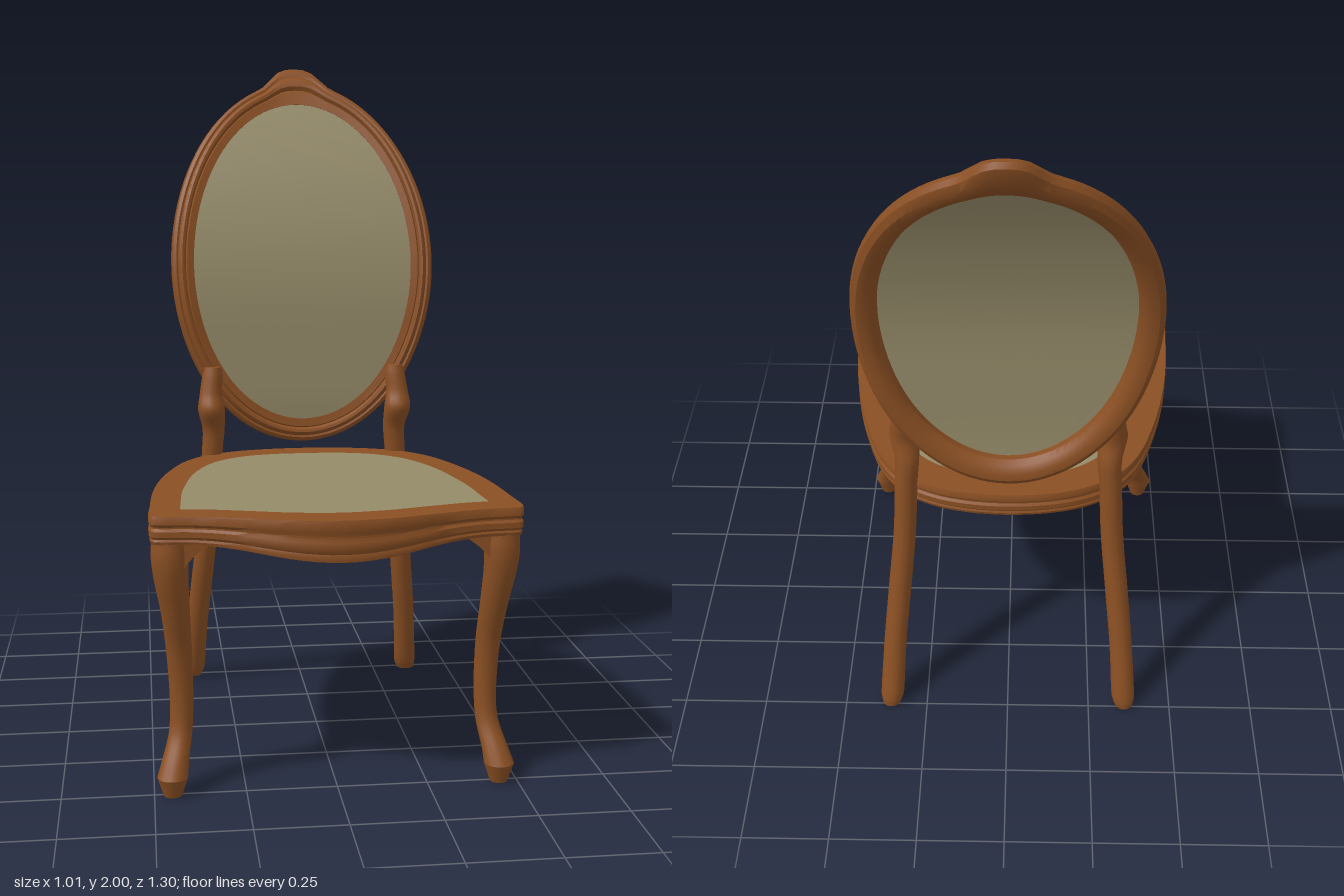
import * as THREE from 'three';
import { toCreasedNormals } from 'three/addons/utils/BufferGeometryUtils.js';

const wood = new THREE.MeshStandardMaterial({ name: 'brown wood', color: 0x8a4f23 });
const fabric = new THREE.MeshStandardMaterial({ name: 'olive fabric', color: 0x958b69, side: THREE.DoubleSide });

// Skin a grid of points; rows may close on themselves, columns always do
function skin(rows, closeRows, crease = 0.6) {
  const n = rows.length, m = rows[0].length, index = [];
  for (let i = 0; i < (closeRows ? n : n - 1); i++) {
    for (let j = 0; j < m; j++) {
      const i2 = (i + 1) % n, j2 = (j + 1) % m;
      const a = i * m + j, b = i2 * m + j, c = i2 * m + j2, d = i * m + j2;
      index.push(a, b, c, a, c, d);
    }
  }
  const g = new THREE.BufferGeometry();
  g.setAttribute('position', new THREE.Float32BufferAttribute(rows.flat(2), 3));
  g.setIndex(index);
  return toCreasedNormals(g, crease);
}

// Upright limb from stations [x, y, z, radius], listed from the floor upwards
function limb(stations, steps = 40, sides = 14) {
  const path = new THREE.CatmullRomCurve3(stations.map(s => new THREE.Vector3(s[0], s[1], s[2])));
  const radii = new THREE.CatmullRomCurve3(stations.map((s, i) => new THREE.Vector3(s[3], i * 0.05, 0)));
  const ring = (p, r) => Array.from({ length: sides }, (_, j) => {
    const a = j / sides * Math.PI * 2;
    return [p.x + r * Math.cos(a), p.y, p.z + r * Math.sin(a)];
  });
  const rows = [ring(path.getPoint(0), 0)];
  for (let i = 0; i <= steps; i++) rows.push(ring(path.getPoint(i / steps), radii.getPoint(i / steps).x));
  rows.push(ring(path.getPoint(1), 0));
  return skin(rows, false, 0.7);
}

// Backrest surface: upright at the bottom, sweeping backwards at the top; d is the depth behind it
const OVAL_Y = 1.387, IN_X = 0.345, IN_Y = 0.503, OVAL_STEPS = 96;
function onBack(x, y, d) {
  const up = Math.max(0, y - 1.2), down = Math.max(0, 1 - y);
  const z = -0.33 - 0.44 * up * up - 0.4 * down * down;
  const slope = -0.88 * up + 0.8 * down, len = Math.hypot(1, slope);
  return [x, y + d * slope / len, z - d / len];
}

function backFrame() {
  // [0 inner .. 1 outer, depth]
  const profile = [[0, 0.014], [0.3, 0.008], [0.36, 0.014], [0.42, 0.003], [0.52, 0], [0.64, 0.005], [0.7, 0.014],
    [0.78, 0.011], [0.92, 0.016], [1, 0.03], [0.96, 0.046], [0.75, 0.06], [0.45, 0.062], [0.15, 0.052], [0, 0.036]];
  const rows = [];
  for (let i = 0; i < OVAL_STEPS; i++) {
    const a = -i / OVAL_STEPS * Math.PI * 2, c = Math.cos(a), s = Math.sin(a);
    // Crest swelling at the top
    const crest = s > 0 ? 0.048 * Math.exp(-((c * 0.415 / 0.085) ** 4)) : 0;
    rows.push(profile.map(([t, d]) =>
      onBack(c * (IN_X + 0.071 * t), OVAL_Y + s * (IN_Y + 0.08 * t) + crest * t, d)));
  }
  return skin(rows, true);
}

function backPanel() {
  const rows = [];
  for (let i = 0; i <= 12; i++) {
    rows.push(Array.from({ length: OVAL_STEPS }, (_, j) => {
      const a = j / OVAL_STEPS * Math.PI * 2, r = i / 12;
      return onBack(r * IN_X * Math.cos(a), OVAL_Y + r * IN_Y * Math.sin(a), 0.015);
    }));
  }
  return skin(rows, false, 1);
}

// Half seat plan, back centre to front centre: [outer x, outer z, inner x, inner z]
const PLAN = [[0, -0.405, 0, -0.31], [0.12, -0.395, 0.1, -0.305], [0.22, -0.368, 0.19, -0.28],
  [0.31, -0.315, 0.255, -0.235], [0.38, -0.225, 0.31, -0.165], [0.44, -0.06, 0.365, -0.02],
  [0.475, 0.1, 0.395, 0.14], [0.492, 0.24, 0.41, 0.26], [0.5, 0.4, 0.416, 0.38],
  [0.504, 0.51, 0.42, 0.45], [0.496, 0.536, 0.42, 0.456], [0.475, 0.543, 0.412, 0.458],
  [0.4, 0.55, 0.36, 0.465], [0.28, 0.579, 0.25, 0.495], [0.14, 0.625, 0.13, 0.53], [0, 0.642, 0, 0.547]];

function seatLoop(k) {
  const half = PLAN.map(p => new THREE.Vector3(p[k], 0, p[k + 1]));
  const mirrored = half.slice(1, -1).reverse().map(p => new THREE.Vector3(-p.x, 0, p.z));
  const curve = new THREE.CatmullRomCurve3([...half, ...mirrored], true);
  return Array.from({ length: 120 }, (_, i) => curve.getPoint(i / 120));
}

function seatFrame(outer, inner) {
  // [0 outer .. 1 inner, height]
  const profile = [[1, 0.78], [0.02, 0.78], [0, 0.776], [0, 0.757], [0.06, 0.75], [0.06, 0.746],
    [0, 0.739], [0, 0.724], [0.06, 0.717], [0.03, 0.711], [0.05, 0.703], [1, 0.703]];
  return skin(outer.map((o, i) => profile.map(([t, y]) => {
    const p = o.clone().lerp(inner[i], t);
    // The front rail swells downwards in the middle
    const dip = p.z > 0.3 && Math.abs(p.x) < 0.4 ? 0.036 * Math.cos(Math.PI * p.x / 0.8) ** 2 : 0;
    return [p.x, y - dip * (0.78 - y) / 0.077, p.z];
  })), true);
}

// Concave bracket between leg and rail, reaching along +x from its origin
function bracket() {
  const s = new THREE.Shape();
  s.moveTo(0, 0);
  s.lineTo(0, -0.13);
  s.quadraticCurveTo(0.045, -0.03, 0.13, 0);
  s.closePath();
  return new THREE.ExtrudeGeometry(s, { depth: 0.06, bevelEnabled: false, curveSegments: 8 }).translate(0, 0, -0.03);
}

export function createModel() {
  const model = new THREE.Group();
  model.name = 'chair';
  const add = (name, geometry, material, parent = model) => {
    const mesh = new THREE.Mesh(geometry, material);
    mesh.name = name;
    parent.add(mesh);
    return mesh;
  };

  // Seat
  const outer = seatLoop(0), inner = seatLoop(2);
  add('seatFrame', seatFrame(outer, inner), wood);
  const panel = new THREE.ShapeGeometry(new THREE.Shape(inner.map(p => new THREE.Vector2(p.x, -p.z))));
  add('seatPanel', panel.rotateX(-Math.PI / 2).translate(0, 0.78, 0), fabric);

  // Oval backrest
  add('backFrame', backFrame(), wood);
  add('backPanel', backPanel(), fabric);

  for (const s of [1, -1]) {
    const side = s > 0 ? 'left' : 'right';
    // Rear leg rising past the seat to hold the oval
    add(side + 'RearLeg', limb([[0.36, 0.002, -0.487, 0.028], [0.357, 0.03, -0.48, 0.035], [0.345, 0.2, -0.434, 0.034],
      [0.325, 0.4, -0.388, 0.034], [0.305, 0.6, -0.357, 0.033], [0.295, 0.78, -0.343, 0.033],
      [0.29, 0.86, -0.335, 0.035], [0.297, 0.925, -0.313, 0.042], [0.298, 0.975, -0.325, 0.035],
      [0.292, 1.03, -0.335, 0.032], [0.29, 1.058, -0.337, 0.026]].map(([x, ...r]) => [s * x, ...r]), 60), wood);

    // Front cabriole leg with a tapered foot and corner brackets
    const leg = new THREE.Group();
    leg.name = side + 'FrontLeg';
    model.add(leg);
    add('leg', limb([[0.45, 0.052, 0.505, 0.042], [0.442, 0.09, 0.488, 0.037], [0.426, 0.16, 0.452, 0.032],
      [0.422, 0.24, 0.441, 0.032], [0.427, 0.38, 0.445, 0.035], [0.436, 0.5, 0.474, 0.039],
      [0.447, 0.6, 0.493, 0.046], [0.45, 0.66, 0.496, 0.05], [0.45, 0.71, 0.494, 0.048]]
      .map(([x, ...r]) => [s * x, ...r])), wood, leg);
    add('foot', new THREE.CylinderGeometry(0.042, 0.025, 0.052, 14).translate(s * 0.45, 0.026, 0.505), wood, leg);
    const across = add('frontBracket', bracket(), wood, leg);
    across.position.set(s * 0.445, 0.71, 0.495);
    across.rotation.y = s > 0 ? Math.PI : 0;
    const along = add('sideBracket', bracket(), wood, leg);
    along.position.set(s * 0.452, 0.71, 0.49);
    along.rotation.y = Math.PI / 2;
  }
  return model;
}
